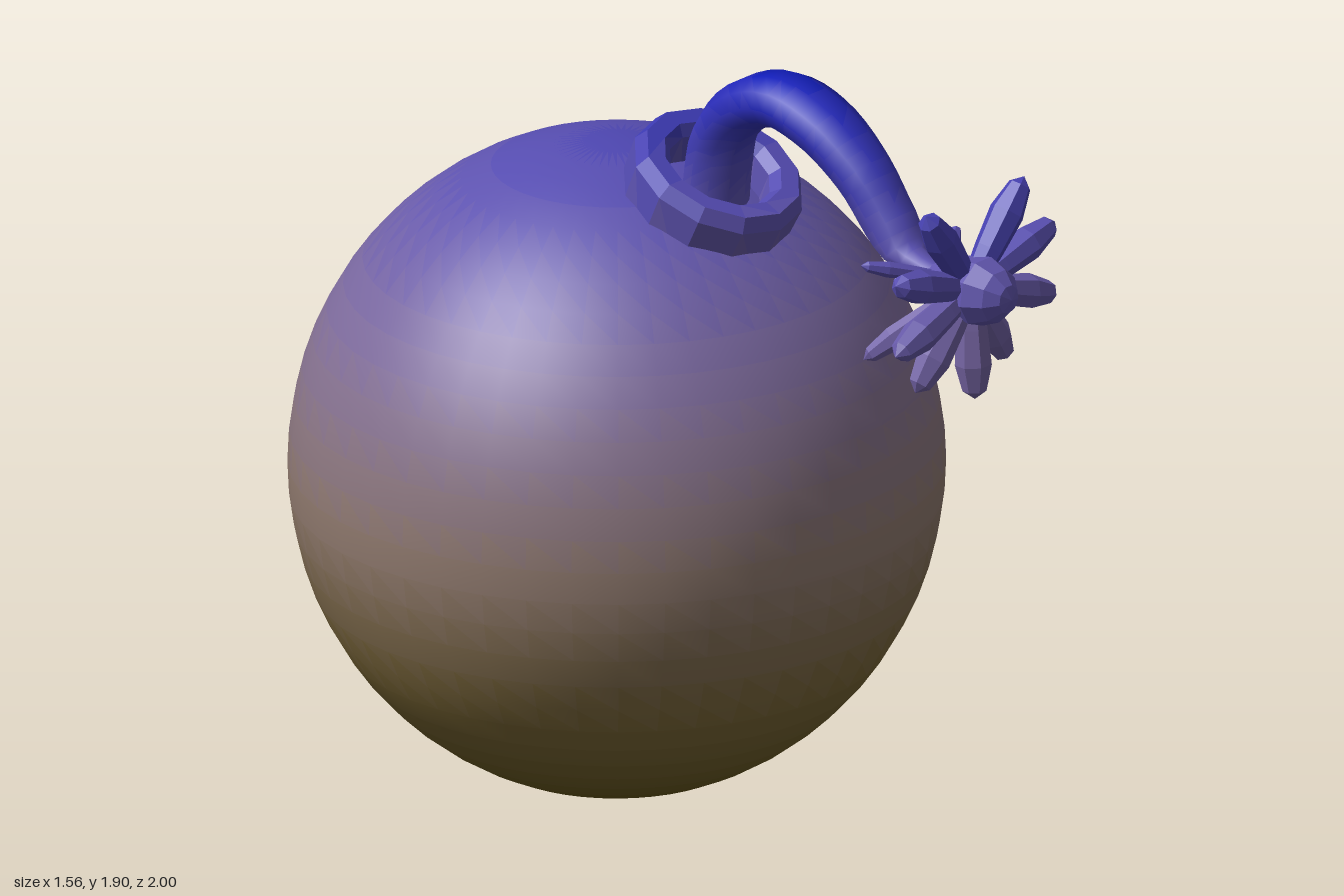
import * as THREE from 'three';

// Colour runs with height: olive at the bottom, violet, then deep blue on top
const STOPS = [[0, 0x5c4e00], [0.4, 0x7c6838], [0.8, 0x907a70], [1.2, 0x7f6c9a], [1.55, 0x5a50b0], [1.72, 0x3a38b4], [1.9, 0x101cb8]];
function colorAt(y) {
  let i = 0;
  while (i < STOPS.length - 2 && y > STOPS[i + 1][0]) i++;
  const t = THREE.MathUtils.clamp((y - STOPS[i][0]) / (STOPS[i + 1][0] - STOPS[i][0]), 0, 1);
  return new THREE.Color(STOPS[i][1]).lerp(new THREE.Color(STOPS[i + 1][1]), t);
}

// Splits a placed geometry into height bands, one plain material each
function tinted(name, geometry, step, flatShading = false) {
  const geo = geometry.toNonIndexed();
  const p = geo.attributes.position.array, n = geo.attributes.normal.array;
  const bands = new Map();
  for (let i = 0; i < p.length; i += 9) {
    const b = Math.floor((p[i + 1] + p[i + 4] + p[i + 7]) / 3 / step);
    if (!bands.has(b)) bands.set(b, { pos: [], nor: [] });
    bands.get(b).pos.push(...p.slice(i, i + 9));
    bands.get(b).nor.push(...n.slice(i, i + 9));
  }
  const group = new THREE.Group();
  group.name = name;
  for (const [b, { pos, nor }] of bands) {
    const g = new THREE.BufferGeometry();
    g.setAttribute('position', new THREE.Float32BufferAttribute(pos, 3));
    g.setAttribute('normal', new THREE.Float32BufferAttribute(nor, 3));
    const mat = new THREE.MeshStandardMaterial({ color: colorAt((b + 0.5) * step), flatShading });
    const mesh = new THREE.Mesh(g, mat);
    mesh.name = name + 'Band';
    group.add(mesh);
  }
  return group;
}

const lathe = (pts, sides) => new THREE.LatheGeometry(pts.map(([r, y]) => new THREE.Vector2(r, y)), sides);

// Rounded spike from one point to another, thickest past the middle
function spike(name, from, to, radius) {
  const dir = to.clone().sub(from), len = dir.length();
  const geo = lathe([[0, 0], [radius * 0.6, 0.02 * len], [radius * 0.85, 0.35 * len], [radius, 0.68 * len], [radius * 0.65, 0.92 * len], [0, len]], 7);
  const mat = new THREE.MeshStandardMaterial({ color: colorAt((from.y + to.y * 2) / 3), flatShading: true });
  const mesh = new THREE.Mesh(geo, mat);
  mesh.name = name;
  mesh.position.copy(from);
  mesh.quaternion.setFromUnitVectors(new THREE.Vector3(0, 1, 0), dir.normalize());
  return mesh;
}

// Tapering fuse: a tube whose rings are rescaled about the curve
function fuseGeometry() {
  const path = [[1.52, 0.08], [1.62, 0.09], [1.71, 0.11], [1.79, 0.175], [1.835, 0.29], [1.80, 0.42], [1.71, 0.54], [1.61, 0.62], [1.54, 0.68], [1.515, 0.76]];
  const curve = new THREE.CatmullRomCurve3(path.map(([y, z]) => new THREE.Vector3(0, y, z)));
  const segs = 30, sides = 10;
  const geo = new THREE.TubeGeometry(curve, segs, 1, sides);
  const pos = geo.attributes.position, v = new THREE.Vector3();
  for (let i = 0; i <= segs; i++) {
    const t = i / segs, c = curve.getPointAt(t);
    const thick = 0.066 * (1 - THREE.MathUtils.smoothstep(t, 0.82, 0.97) * 0.62);
    const wide = Math.min(0.098 - 0.03 * THREE.MathUtils.smoothstep(t, 0.45, 0.85), thick * 1.5);
    for (let j = 0; j <= sides; j++) {
      const k = i * (sides + 1) + j;
      v.fromBufferAttribute(pos, k).sub(c);
      pos.setXYZ(k, v.x * wide, c.y + v.y * thick, c.z + v.z * thick);
    }
  }
  return geo;
}

export function createModel() {
  const model = new THREE.Group();

  // Round body
  const body = new THREE.SphereGeometry(1, 44, 32);
  body.scale(0.78, 0.805, 0.775).translate(0, 0.805, -0.225);
  model.add(tinted('body', body, 0.05));

  // Tilted collar, open in the middle
  const collar = lathe([[0.13, -0.2], [0.205, -0.2], [0.215, -0.035], [0.195, 0], [0.15, 0], [0.128, -0.025], [0.13, -0.2]], 12);
  collar.rotateX(THREE.MathUtils.degToRad(26)).translate(0, 1.63, 0.105);
  model.add(tinted('collar', collar, 0.06, true));

  // Bent fuse
  model.add(tinted('fuse', fuseGeometry(), 0.04));

  // Spark at the end of the fuse
  const spark = new THREE.Group();
  spark.name = 'spark';
  const core = lathe([[0, -0.15], [0.03, -0.12], [0.07, -0.03], [0.085, 0.05], [0.065, 0.1], [0.035, 0.13], [0, 0.14]], 9);
  core.rotateX(Math.PI / 2);
  const heart = new THREE.Mesh(core, new THREE.MeshStandardMaterial({ color: colorAt(1.5), flatShading: true }));
  heart.name = 'sparkCore';
  heart.position.set(0, 1.5, 0.86);
  spark.add(heart);

  // Rays fan out in a ring, with a gap at the top
  const center = new THREE.Vector3(0, 1.5, 0.87);
  for (let i = 1; i < 10; i++) {
    const a = Math.PI / 2 + i * Math.PI / 5;
    const len = i === 5 ? 0.29 : 0.305;
    const tip = new THREE.Vector3(Math.cos(a) * len, 1.5 + Math.sin(a) * len * 0.95, 0.885);
    if (i === 4 || i === 6) tip.set(Math.sign(tip.x) * 0.165, 1.275, 0.84);
    spark.add(spike('sparkRay', center, tip, i === 5 ? 0.045 : 0.043));
  }

  // Rays leaning back towards the fuse
  for (const s of [-1, 1]) {
    spark.add(spike('backRay', new THREE.Vector3(0, 1.51, 0.79), new THREE.Vector3(s * 0.175, 1.56, 0.68), 0.02));
    spark.add(spike('lowerBackRay', new THREE.Vector3(0, 1.48, 0.83), new THREE.Vector3(s * 0.165, 1.32, 0.68), 0.03));
  }
  model.add(spark);
  return model;
}
